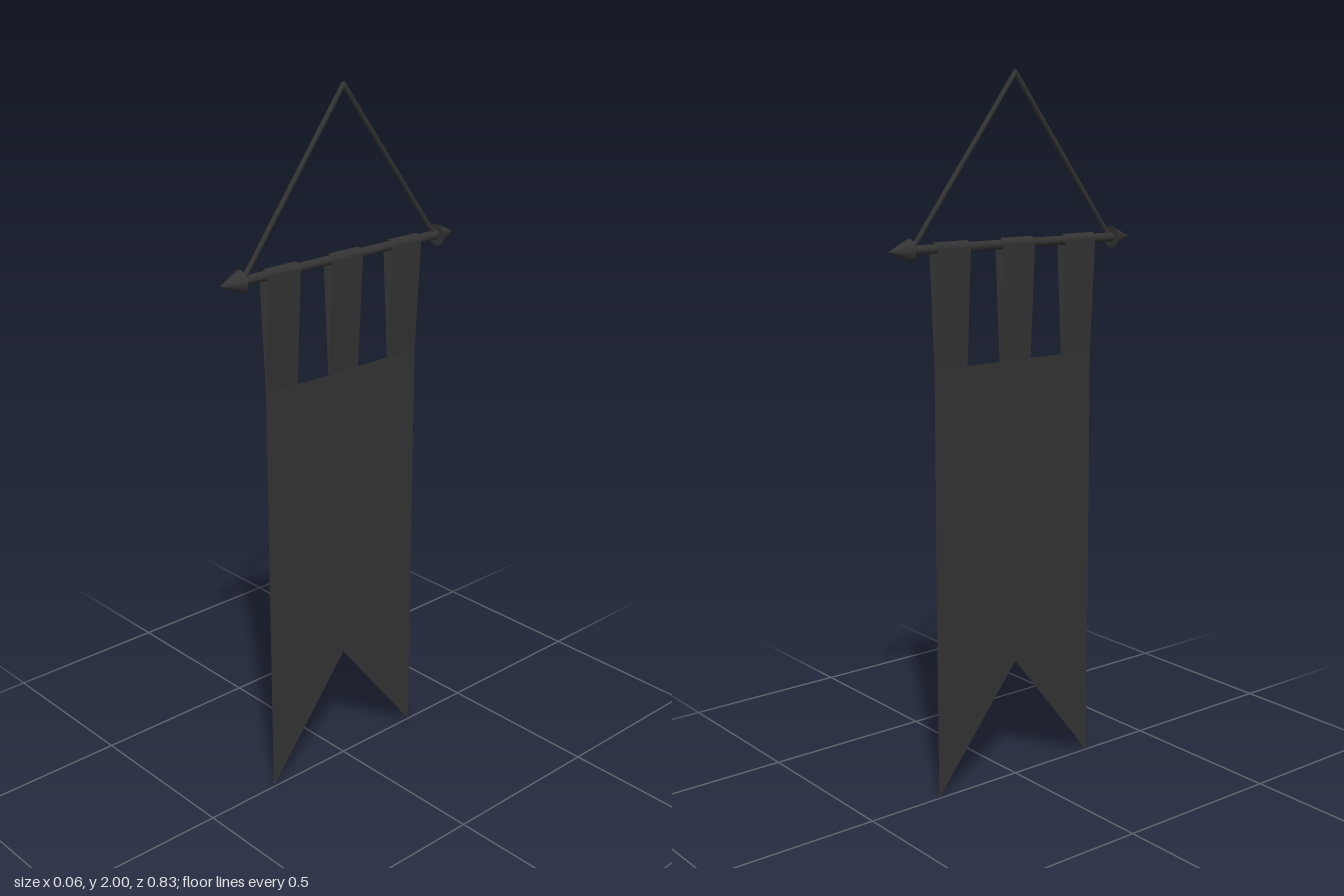
import * as THREE from 'three';

export function createModel() {
  const group = new THREE.Group();
  const dark = new THREE.MeshStandardMaterial({ color: 0x333333 });
  const cloth = new THREE.MeshStandardMaterial({ color: 0x333333, side: THREE.DoubleSide });
  const rodY = 1.54, halfWidth = 0.275, tabBase = 1.22;

  function add(name, geometry, material) {
    const mesh = new THREE.Mesh(geometry, material);
    mesh.name = name;
    group.add(mesh);
    return mesh;
  }

  // Cloth panel with a swallowtail bottom, lying in the YZ plane
  const outline = new THREE.Shape([
    [-halfWidth, 0], [0, 0.345], [halfWidth, 0], [halfWidth, tabBase], [-halfWidth, tabBase],
  ].map(([x, y]) => new THREE.Vector2(x, y)));
  add('clothPanel', new THREE.ShapeGeometry(outline).rotateY(Math.PI / 2), cloth);

  // Tab profile: up one side, over the rod, down the other side
  const profile = [[0, tabBase]];
  const arcSteps = 10, loopRadius = 0.018;
  for (let i = 0; i <= arcSteps; i++) {
    const a = Math.PI * i / arcSteps;
    profile.push([loopRadius * Math.cos(a), rodY + loopRadius * Math.sin(a)]);
  }
  profile.push([0, tabBase]);

  // Three hanging tabs
  for (const z of [-0.22, 0, 0.22]) {
    const strip = new THREE.PlaneGeometry(0.11, 1, 1, profile.length - 1);
    const pos = strip.attributes.position;
    for (let i = 0; i < pos.count; i++) {
      const [x, y] = profile[Math.floor(i / 2)];
      pos.setXYZ(i, x, y, z - pos.getX(i));
    }
    strip.computeVertexNormals();
    add('hangingTab', strip, cloth);
  }

  // Rod
  add('rod', new THREE.CylinderGeometry(0.013, 0.013, 0.71, 16).rotateX(Math.PI / 2), dark)
    .position.y = rodY;

  // Pointed finials and the two cords meeting at the top
  for (const s of [-1, 1]) {
    add('finial', new THREE.ConeGeometry(0.031, 0.066, 20).rotateX(s * Math.PI / 2), dark)
      .position.set(0, rodY, s * 0.384);

    const path = new THREE.LineCurve3(
      new THREE.Vector3(0, rodY, s * 0.345), new THREE.Vector3(0, 1.993, 0));
    add('cord', new THREE.TubeGeometry(path, 1, 0.007, 8), dark);
  }
  add('cordJoint', new THREE.SphereGeometry(0.007, 8, 6), dark).position.y = 1.993;

  return group;
}
